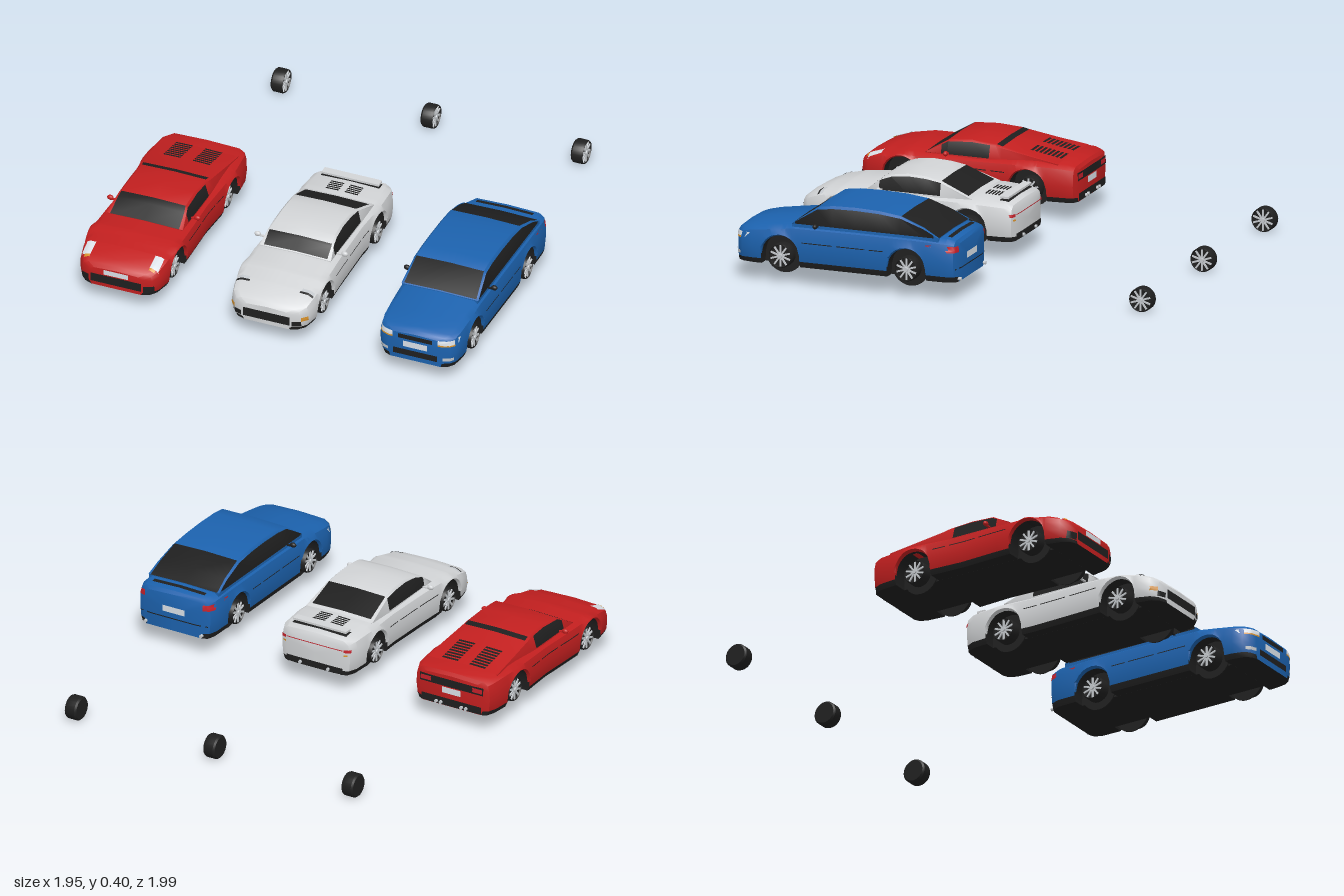
import * as THREE from 'three';
import { toCreasedNormals } from 'three/addons/utils/BufferGeometryUtils.js';

const paint = (name, color, side = THREE.FrontSide) => new THREE.MeshStandardMaterial({ name, color, side });
const M = {
  red: paint('red paint', 0xc21f1f), white: paint('white paint', 0xd2d4d6), blue: paint('blue paint', 0x1c62ae),
  black: paint('black trim and glass', 0x1f1f1f, THREE.DoubleSide),
  silver: paint('silver', 0xc4c8cc, THREE.DoubleSide),
  plate: paint('pale plate', 0xdde3ea, THREE.DoubleSide),
  orange: paint('orange lamp', 0xd8922c, THREE.DoubleSide),
  lamp: paint('red lamp', 0xc4202a, THREE.DoubleSide),
};
const FLOOR = 0.09, AXLES = [0.14, 0.76], ARCH = 0.095, HUB = 0.135;
const lerp = THREE.MathUtils.lerp;

// Linear lookup of column k in rows sorted by their first column
function at(rows, z, k) {
  let i = 1;
  while (i < rows.length - 1 && rows[i][0] < z) i++;
  const [a, b] = [rows[i - 1], rows[i]];
  return lerp(a[k], b[k], THREE.MathUtils.clamp((z - a[0]) / (b[0] - a[0]), 0, 1));
}

function add(parent, name, geo, mat, x = 0, y = 0, z = 0) {
  const m = new THREE.Mesh(geo, mat);
  m.name = name;
  m.position.set(x, y, z);
  parent.add(m);
  return m;
}

// Mirrored half sections joined along z; pick(zMid, strip) gives 0 for paint, 1 for black
function loft(zs, section, pick) {
  const rings = zs.map((z) => {
    const half = section(z);
    const mirrored = half.slice(1, -1).reverse().map(([x, y]) => [-x, y]);
    return [...half, ...mirrored].map(([x, y]) => [x, y, z]);
  });
  const n = rings[0].length, top = section(zs[0]).length - 1, out = [[], []];
  for (let i = 0; i + 1 < zs.length; i++) for (let j = 0; j < n; j++) {
    const k = (j + 1) % n, strip = j < top ? j : n - 1 - j;
    const [a, b, c, d] = [rings[i][j], rings[i + 1][j], rings[i + 1][k], rings[i][k]];
    out[pick((zs[i] + zs[i + 1]) / 2, strip)].push(...a, ...d, ...c, ...a, ...c, ...b);
  }
  for (const [ring, front] of [[rings[0], false], [rings.at(-1), true]]) {
    const mid = [0, (ring[0][1] + ring[top][1]) / 2, ring[0][2]];
    ring.forEach((p, j) => {
      const q = ring[(j + 1) % n];
      out[0].push(...mid, ...(front ? p : q), ...(front ? q : p));
    });
  }
  const geo = new THREE.BufferGeometry();
  geo.setAttribute('position', new THREE.Float32BufferAttribute([...out[0], ...out[1]], 3));
  geo.addGroup(0, out[0].length / 3, 0);
  geo.addGroup(out[0].length / 3, out[1].length / 3, 1);
  return toCreasedNormals(geo, 0.65);
}

// Height of a section at x, and half-width of a section at y
function heightAt(pts, x) {
  for (let k = pts.length - 2; k >= 0; k--) {
    const [a, b] = [pts[k], pts[k + 1]];
    if (a[0] >= x) return lerp(b[1], a[1], (x - b[0]) / (a[0] - b[0] || 1));
  }
  return -1;
}
function widthAt(pts, y) {
  if (y < pts[1][1]) return pts[1][0];
  for (let k = 1; k < pts.length - 1; k++) {
    const [a, b] = [pts[k], pts[k + 1]];
    if (y <= b[1]) return lerp(a[0], b[0], (y - a[1]) / (b[1] - a[1] || 1));
  }
  return 0;
}

// Thin sheet following fn(u, v)
function sheet(u0, u1, v0, v1, fn, n = 6) {
  const geo = new THREE.PlaneGeometry(1, 1, n, n), p = geo.attributes.position;
  for (let i = 0; i < p.count; i++)
    p.setXYZ(i, ...fn(lerp(u0, u1, p.getX(i) + 0.5), lerp(v0, v1, p.getY(i) + 0.5)));
  geo.computeVertexNormals();
  return geo;
}

// Wheel with its spoked face towards +x
function wheel() {
  const g = new THREE.Group();
  g.name = 'wheel';
  const profile = [[0, -0.03], [0.05, -0.03], [0.057, -0.022], [0.057, 0.022], [0.053, 0.03], [0.05, 0.022], [0, 0.018]];
  const tyre = new THREE.LatheGeometry(profile.map(([r, y]) => new THREE.Vector2(r, y)), 28);
  add(g, 'tyre', toCreasedNormals(tyre.rotateZ(-Math.PI / 2), 0.6), M.black);
  for (let i = 0; i < 10; i++) {
    const spoke = new THREE.BoxGeometry(0.006, 0.042, 0.008).translate(0.024, 0.029, 0);
    add(g, 'spoke', spoke.rotateX((i * Math.PI) / 5), M.silver);
  }
  add(g, 'hub', new THREE.CylinderGeometry(0.01, 0.012, 0.012, 16).rotateZ(-Math.PI / 2), M.silver, 0.027);
  return g;
}

// body rows: z, half-width, top. cabin rows: z, top.
function car(c) {
  const g = new THREE.Group();
  g.name = c.name;
  const bottom = (z) => {
    const d = Math.min(...AXLES.map((a) => Math.abs(z - a)));
    return d < ARCH + 0.0002 ? HUB + Math.sqrt(Math.max(0, ARCH * ARCH - d * d)) : FLOOR;
  };
  const bodySection = (z) => {
    const w = at(c.body, z, 1), top = at(c.body, z, 2), b = bottom(z), h = top - FLOOR;
    const y = (f, k) => Math.max(FLOOR + f * h, b + 0.004 * k);
    return [[0, b], [w * 0.92, b], [w * 0.97, y(0.14, 1)], [w, y(0.45, 2)], [w * 0.99, y(0.72, 3)],
      [w * 0.95, y(0.9, 4)], [w * 0.82, top], [0, top + 0.005]];
  };
  const roofY = Math.max(...c.cabin.map((r) => r[1]));
  const cabinSection = (z) => {
    const t = at(c.cabin, z, 1), f = (t - c.belt) / (roofY - c.belt), w = lerp(c.beltW, c.roofW, f);
    return [[0, c.belt - 0.03], [c.beltW, c.belt - 0.03], [c.beltW, c.belt],
      [w + 0.004, c.belt + (t - c.belt) * 0.88], [Math.min(w * 0.96, c.glassW), t], [0, t + 0.004]];
  };
  // Painted shell with wheel arches and black sill and floor
  const steps = [-0.0955, -0.095, -0.085, -0.07, -0.05, -0.025, 0, 0.025, 0.05, 0.07, 0.085, 0.095, 0.0955];
  const bodyZ = [...c.body.map((r) => r[0]), ...AXLES.flatMap((a) => steps.map((s) => a + s))].sort((a, b) => a - b);
  add(g, 'body', loft(bodyZ, bodySection, (z, j) => (j === 0 || (j === 1 && bottom(z) === FLOOR) ? 1 : 0)), [c.paint, M.black]);
  // Cabin with glass, painted pillars and roof
  const within = (z, [a, b]) => z > a && z < b;
  const cabinZ = [...new Set([...c.cabin.map((r) => r[0]), ...c.screen, ...c.rearGlass, ...c.sideGlass])].sort((a, b) => a - b);
  add(g, 'cabin', loft(cabinZ, cabinSection, (z, j) =>
    ((j === 2 && within(z, c.sideGlass)) || (j > 3 && (within(z, c.screen) || within(z, c.rearGlass))) ? 1 : 0)), [c.paint, M.black]);

  // Underside, arch discs, wheels, mirrors and exhausts
  add(g, 'chassis', new THREE.BoxGeometry(0.272, 0.1395, 0.82), M.black, 0, 0.1595, 0.45);
  for (const s of [-1, 1]) {
    for (const z of AXLES) {
      add(g, 'archDisc', new THREE.CylinderGeometry(0.09, 0.09, 0.006, 32).rotateZ(Math.PI / 2), M.black, s * 0.14, HUB, z);
      const w = wheel();
      w.position.set(s * 0.17, HUB, z);
      if (s < 0) w.rotation.y = Math.PI;
      g.add(w);
    }
    const [my, mz, mat] = c.mirror;
    add(g, 'mirror', new THREE.SphereGeometry(1, 14, 10).scale(0.016, 0.012, 0.011), mat, s * 0.216, my, mz);
    add(g, 'mirrorArm', new THREE.BoxGeometry(0.035, 0.006, 0.01), mat, s * 0.194, my - 0.006, mz);
    for (const x of c.exhausts)
      add(g, 'exhaust', new THREE.CylinderGeometry(0.008, 0.008, 0.05, 12).rotateX(Math.PI / 2), M.silver, s * x, 0.105, c.body[0][0] + 0.012);
  }

  // Painted details laid on the shell: on top, on the ends, on the sides
  const onTop = (x, z) => {
    const s = bodySection(z), px = Math.sign(x) * Math.min(Math.abs(x), 0.97 * at(c.body, z, 1));
    let y = heightAt(s, Math.abs(px));
    if (z > cabinZ[0] && z < cabinZ.at(-1)) y = Math.max(y, heightAt(cabinSection(z), Math.abs(px)));
    return [px, y + 0.004, z];
  };
  const endAt = (x, y, dir) => {
    let z = dir > 0 ? c.body.at(-1)[0] : c.body[0][0];
    for (let i = 0; i < 300; i++, z -= dir * 0.0005) {
      const s = bodySection(z);
      if (Math.abs(x) <= widthAt(s, y) && y <= heightAt(s, Math.abs(x))) break;
    }
    return z + dir * 0.004;
  };
  const both = (x0, x1) => (x0 < 0 ? [[x0, x1]] : [[x0, x1], [-x1, -x0]]);
  for (const [name, mat, x0, x1, z0, z1] of c.top)
    for (const [a, b] of both(x0, x1)) add(g, name, sheet(a, b, z1, z0, onTop), mat);
  for (const [dir, list] of [[1, c.front], [-1, c.back]])
    for (const [name, mat, x0, x1, y0, y1] of list)
      for (const [a, b] of both(x0, x1)) add(g, name, sheet(a, b, y0, y1, (x, y) => [x, y, endAt(x, y, dir)]), mat);
  for (const s of [-1, 1]) for (const [z0, z1] of [[0.25, 0.32], [0.34, 0.48], [0.5, 0.65]])
    add(g, 'sideSeam', sheet(z0, z1, 0.208, 0.212, (z, y) => [s * (widthAt(bodySection(z), y) + 0.002), y, z], 2), M.black);
  return g;
}

// Rows of engine louvres
const louvres = (n, x0, x1, z0, z1) => Array.from({ length: n }, (_, i) => {
  const step = (z1 - z0) / n;
  return ['louvre', M.black, x0, x1, z0 + i * step, z0 + (i + 0.6) * step];
});

export function createModel() {
  const root = new THREE.Group();
  root.name = 'threeCars';
  const sports = car({
    name: 'redSportsCar', paint: M.red, belt: 0.258, beltW: 0.187, roofW: 0.163, glassW: 0.171,
    body: [[-0.09, 0.17, 0.24], [-0.078, 0.197, 0.255], [-0.04, 0.213, 0.264], [0.1, 0.227, 0.27], [0.2, 0.224, 0.266], [0.4, 0.213, 0.258],
      [0.6, 0.221, 0.258], [0.75, 0.224, 0.256], [0.86, 0.215, 0.238], [0.93, 0.199, 0.216], [0.965, 0.174, 0.198], [0.98, 0.134, 0.182]],
    cabin: [[0, 0.266], [0.15, 0.292], [0.28, 0.315], [0.31, 0.322], [0.43, 0.33], [0.545, 0.322], [0.65, 0.26]],
    screen: [0.545, 0.65], rearGlass: [0.28, 0.31], sideGlass: [0.34, 0.575], mirror: [0.268, 0.54, M.red], exhausts: [0.055, 0.08],
    top: [...louvres(8, 0.03, 0.115, 0.01, 0.17), ['headlight', M.plate, 0.147, 0.19, 0.865, 0.935], ['indicator', M.orange, 0.147, 0.175, 0.935, 0.947]],
    front: [['frontIntake', M.black, -0.125, 0.125, 0.11, 0.152], ['sideIntake', M.black, 0.135, 0.18, 0.105, 0.14], ['frontPlate', M.plate, -0.06, 0.06, 0.157, 0.182]],
    back: [['rearGrille', M.black, -0.17, 0.17, 0.19, 0.228], ['tailLamp', M.lamp, 0.11, 0.165, 0.198, 0.22],
      ['rearPlate', M.plate, -0.05, 0.05, 0.155, 0.185], ['rearValance', M.black, -0.16, 0.16, 0.093, 0.13]],
  });
  const coupe = car({
    name: 'whiteCoupe', paint: M.white, belt: 0.272, beltW: 0.174, roofW: 0.153, glassW: 0.157,
    body: [[-0.08, 0.15, 0.24], [-0.068, 0.182, 0.258], [-0.03, 0.2, 0.268], [0.1, 0.208, 0.274], [0.3, 0.197, 0.272], [0.55, 0.204, 0.272],
      [0.65, 0.209, 0.27], [0.78, 0.21, 0.257], [0.87, 0.204, 0.236], [0.93, 0.19, 0.212], [0.96, 0.162, 0.195], [0.975, 0.12, 0.178]],
    cabin: [[0.13, 0.274], [0.15, 0.282], [0.285, 0.338], [0.36, 0.35], [0.45, 0.354], [0.53, 0.343], [0.575, 0.325], [0.64, 0.274]],
    screen: [0.575, 0.635], rearGlass: [0.15, 0.285], sideGlass: [0.285, 0.585], mirror: [0.282, 0.57, M.white], exhausts: [0.075],
    top: [...louvres(5, 0.015, 0.08, 0.03, 0.108), ['wingGap', M.black, -0.145, 0.145, -0.042, 0.003], ['headlight', M.silver, 0.13, 0.19, 0.855, 0.872],
      ['headlightEdge', M.black, 0.125, 0.19, 0.872, 0.882]],
    front: [['frontIntake', M.black, -0.115, 0.115, 0.113, 0.157], ['sideIntake', M.black, 0.125, 0.165, 0.11, 0.135], ['indicator', M.orange, 0.165, 0.19, 0.135, 0.155]],
    back: [['tailStrip', M.lamp, -0.15, 0.15, 0.213, 0.217], ['tailLamp', M.lamp, 0.155, 0.185, 0.206, 0.22], ['indicator', M.orange, 0.155, 0.172, 0.187, 0.195],
      ['rearValance', M.black, -0.15, 0.15, 0.093, 0.125]],
  });
  add(coupe, 'rearWing', new THREE.BoxGeometry(0.284, 0.01, 0.04), M.white, 0, 0.287, -0.0195);
  const saloon = car({
    name: 'blueSaloon', paint: M.blue, belt: 0.293, beltW: 0.187, roofW: 0.172, glassW: 0.179,
    body: [[-0.1, 0.16, 0.268], [-0.088, 0.189, 0.283], [-0.05, 0.203, 0.29], [0.1, 0.206, 0.294], [0.4, 0.206, 0.294], [0.7, 0.206, 0.291],
      [0.8, 0.205, 0.276], [0.9, 0.2, 0.261], [0.95, 0.19, 0.25], [0.977, 0.168, 0.242], [0.99, 0.135, 0.228]],
    cabin: [[-0.015, 0.295], [0.06, 0.335], [0.175, 0.376], [0.28, 0.388], [0.4, 0.392], [0.51, 0.389], [0.585, 0.378], [0.705, 0.294]],
    screen: [0.585, 0.7], rearGlass: [-0.015, 0.175], sideGlass: [0.01, 0.69], mirror: [0.297, 0.58, M.black], exhausts: [0.15],
    top: [['bootTrim', M.black, -0.14, 0.14, -0.063, -0.042]],
    front: [['headlight', M.plate, 0.112, 0.192, 0.208, 0.23], ['indicator', M.orange, 0.112, 0.185, 0.201, 0.209], ['grille', M.black, -0.085, 0.085, 0.202, 0.224],
      ['frontPlate', M.plate, -0.06, 0.06, 0.16, 0.19], ['frontIntake', M.black, -0.11, 0.11, 0.115, 0.145], ['fogLight', M.silver, 0.135, 0.18, 0.125, 0.141]],
    back: [['tailLamp', M.lamp, 0.155, 0.199, 0.232, 0.26], ['rearPlate', M.plate, -0.06, 0.06, 0.18, 0.21], ['rearSeam', M.black, -0.18, 0.18, 0.15, 0.155]],
  });
  // Line up the cars, each with a spare wheel behind
  [[sports, -0.738], [coupe, 0.005], [saloon, 0.75]].forEach(([c, x]) => {
    c.position.x = x;
    const spare = wheel();
    spare.name = 'spareWheel';
    spare.position.set(x - 0.002, 0.057, -0.943);
    root.add(c, spare);
  });
  return root;
}
